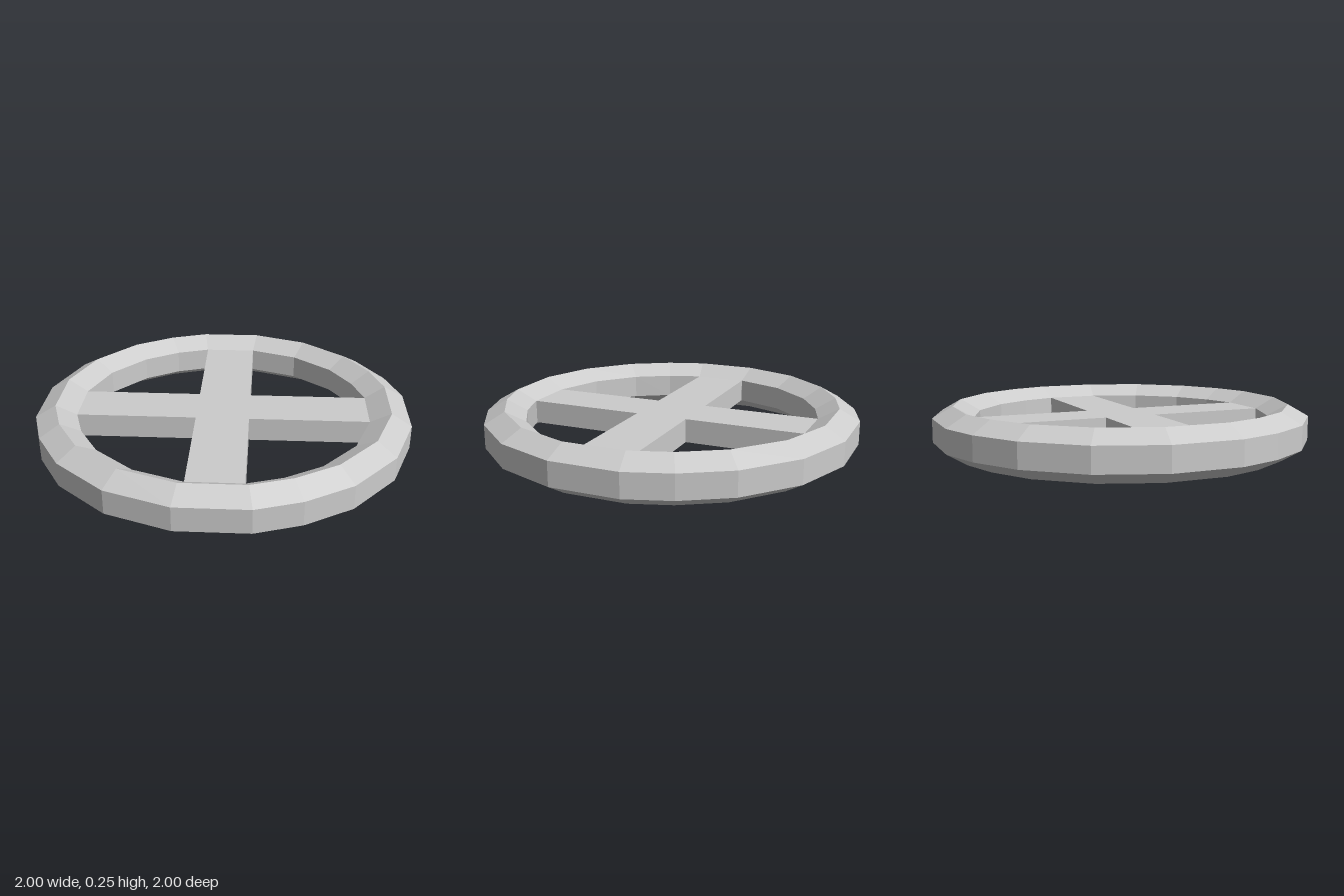
import * as THREE from 'three';

const material = new THREE.MeshStandardMaterial({ color: 0xcccccc, flatShading: true });

// Outline of a quarter turn (x, z), repeated four times to make the 20-sided rim
const QUARTER = [[1, 0.183], [0.88, 0.513], [0.655, 0.777], [0.415, 0.923], [0.183, 1]];
// Rim cross-section: outline scale, height
const SECTION = [[1, 0.065], [1, 0.193], [0.893, 0.255], [0.785, 0.193], [0.785, 0.065], [0.893, 0]];

function rimGeometry() {
  const outline = [];
  let turn = QUARTER;
  for (let q = 0; q < 4; q++) {
    outline.push(...turn);
    turn = turn.map(([x, z]) => [-z, x]);
  }
  const n = outline.length, m = SECTION.length;
  const positions = [], index = [];
  for (const [x, z] of outline) {
    for (const [scale, y] of SECTION) positions.push(x * scale, y, z * scale);
  }
  for (let i = 0; i < n; i++) {
    for (let j = 0; j < m; j++) {
      const i2 = (i + 1) % n, j2 = (j + 1) % m;
      const a = i * m + j, b = i * m + j2, c = i2 * m + j2, d = i2 * m + j;
      index.push(a, b, c, a, c, d);
    }
  }
  const indexed = new THREE.BufferGeometry();
  indexed.setAttribute('position', new THREE.Float32BufferAttribute(positions, 3));
  indexed.setIndex(index);
  const geometry = indexed.toNonIndexed();
  geometry.computeVertexNormals();
  return geometry;
}

// Four spokes as one flat cross, its ends tucked just inside the rim
function spokesGeometry() {
  const w = 0.143, r = 0.79;
  const points = [];
  for (let q = 0; q < 4; q++) {
    for (const [x, y] of [[r, -w], [r, w], [w, w]]) {
      const p = new THREE.Vector2(x, y);
      for (let k = 0; k < q; k++) p.set(-p.y, p.x);
      points.push(p);
    }
  }
  const geometry = new THREE.ExtrudeGeometry(new THREE.Shape(points), { depth: 0.128, bevelEnabled: false });
  geometry.rotateX(-Math.PI / 2);
  geometry.translate(0, 0.065, 0);
  return geometry;
}

export function createModel() {
  const group = new THREE.Group();
  group.name = 'spokedWheel';
  const rim = new THREE.Mesh(rimGeometry(), material);
  rim.name = 'rim';
  const spokes = new THREE.Mesh(spokesGeometry(), material);
  spokes.name = 'spokes';
  group.add(rim, spokes);
  return group;
}
